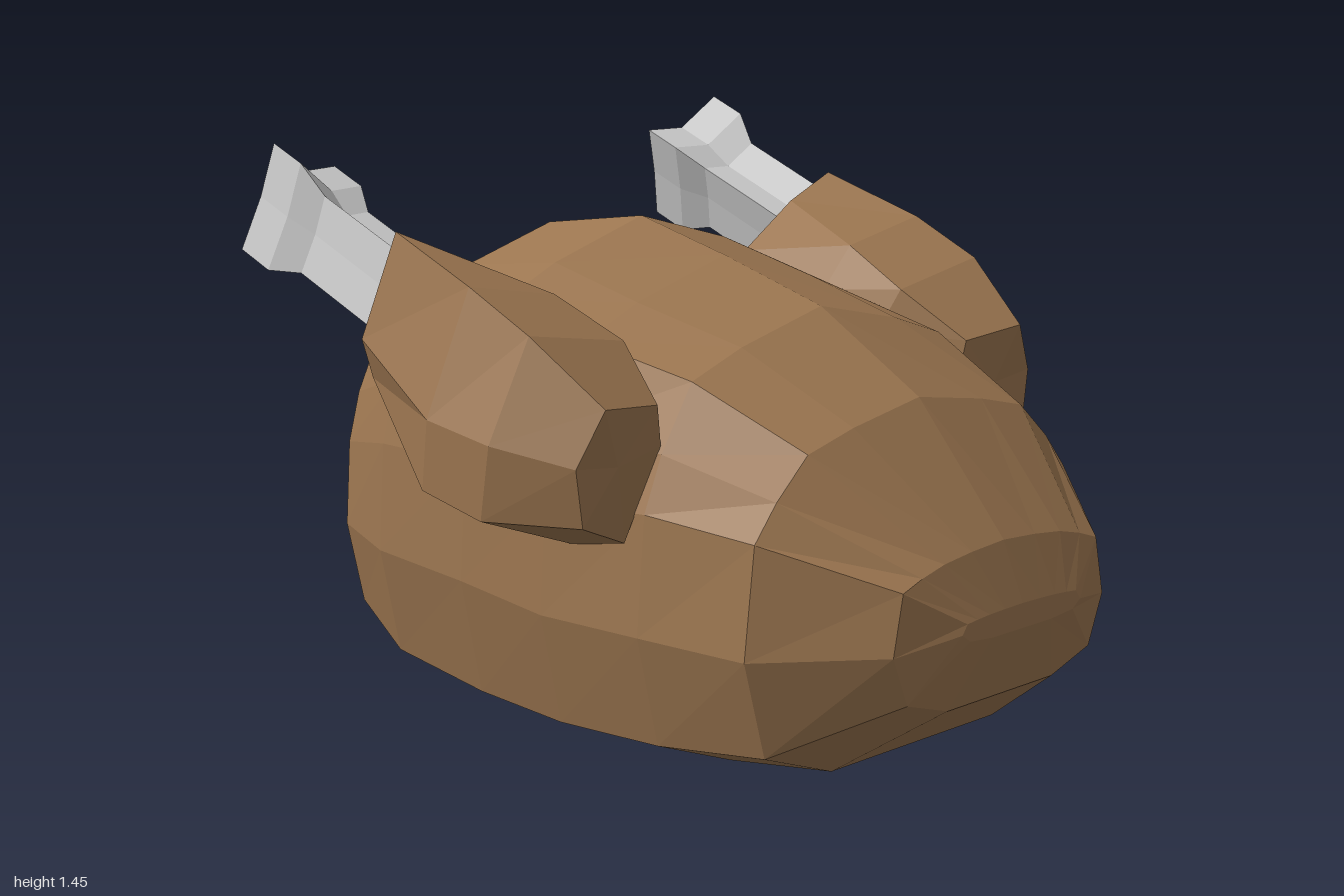
import * as THREE from 'three';

const meat = new THREE.MeshStandardMaterial({ color: 0x9c7650, flatShading: true });
const bone = new THREE.MeshStandardMaterial({ color: 0xcccccc, flatShading: true });

// Skins rings of [x, y, z] points, ordered front to back, each counterclockwise
// seen from the front; both ends close in a fan around the given centre points.
function loft(name, rings, material, frontTip, backTip) {
  const n = rings[0].length, index = [];
  const points = rings.flat();
  for (let i = 0; i < rings.length - 1; i++) {
    for (let j = 0; j < n; j++) {
      const a = i * n + j, b = i * n + (j + 1) % n;
      index.push(a, a + n, b + n, a, b + n, b);
    }
  }
  const front = points.push(frontTip) - 1, back = points.push(backTip) - 1;
  const last = (rings.length - 1) * n;
  for (let j = 0; j < n; j++) {
    const k = (j + 1) % n;
    index.push(front, j, k, back, last + k, last + j);
  }
  const indexed = new THREE.BufferGeometry();
  indexed.setAttribute('position', new THREE.Float32BufferAttribute(points.flat(), 3));
  indexed.setIndex(index);
  const geometry = indexed.toNonIndexed();
  geometry.computeVertexNormals();
  const mesh = new THREE.Mesh(geometry, material);
  mesh.name = name;
  return mesh;
}

const centre = ring => [0, 1, 2].map(k => ring.reduce((s, p) => s + p[k], 0) / ring.length);

// Mirrors a point or a ring across x = 0, keeping the faces outward
const flip = ([x, y, z]) => [-x, y, z];
const flipRing = ring => ring.map(flip).reverse();

// Body: half profiles [x / halfWidth, height fraction], bottom to top, for rump and nose
const RUMP = [[0, 0], [0.5, 0], [0.9, 0.08], [1, 0.32], [0.97, 0.56], [0.9, 0.7], [0.75, 0.87], [0.48, 0.93], [0, 1]];
const NOSE = [[0, 0], [0.5, 0], [0.87, 0.12], [1, 0.45], [0.92, 0.84], [0.75, 0.9], [0.55, 0.95], [0.3, 0.98], [0, 1]];

// [z, halfWidth, bottom, top, blend from rump to nose]
const BODY = [
  [1.0, 0.22, 0.40, 0.46, 1],
  [0.94, 0.39, 0.23, 0.60, 1],
  [0.68, 0.60, 0.05, 0.90, 0.5],
  [0.37, 0.63, 0.01, 1.08, 0.2],
  [0.05, 0.635, 0, 1.17, 0],
  [-0.24, 0.63, 0.01, 1.24, 0],
  [-0.58, 0.60, 0.05, 1.19, 0],
  [-0.82, 0.51, 0.14, 1.04, 0],
  [-0.95, 0.31, 0.29, 0.78, 0],
];

function bodyRing([z, w, bottom, top, blend]) {
  const half = RUMP.map(([x, t], i) => [
    w * THREE.MathUtils.lerp(x, NOSE[i][0], blend),
    THREE.MathUtils.lerp(bottom, top, THREE.MathUtils.lerp(t, NOSE[i][1], blend)),
    z,
  ]);
  return [...half, ...half.slice(1, -1).reverse().map(flip)];
}

// Thigh rings: top inner, inner, bottom, outer low, outer high, top outer
const THIGH = [
  [[0.56, 0.92, 0.37], [0.54, 0.82, 0.36], [0.63, 0.60, 0.33], [0.80, 0.67, 0.37], [0.82, 0.81, 0.37], [0.75, 0.94, 0.395]],
  [[0.50, 1.04, 0.20], [0.455, 0.93, 0.16], [0.61, 0.56, 0.14], [0.91, 0.67, 0.15], [0.91, 0.85, 0.18], [0.80, 1.09, 0.20]],
  [[0.53, 1.13, 0.00], [0.45, 1.02, -0.02], [0.60, 0.63, -0.07], [0.91, 0.71, -0.05], [0.91, 0.88, -0.03], [0.80, 1.18, 0.00]],
  [[0.63, 1.21, -0.30], [0.47, 1.09, -0.32], [0.58, 0.82, -0.37], [0.80, 0.92, -0.35], [0.84, 1.02, -0.34], [0.77, 1.275, -0.29]],
];

// Notched outline of the bone's knuckle end
const KNUCKLE = [
  [0.78, 1.45, -0.73], [0.67, 1.37, -0.75], [0.56, 1.37, -0.77], [0.60, 1.25, -0.79],
  [0.63, 1.13, -0.81], [0.73, 1.18, -0.80], [0.85, 1.19, -0.78], [0.81, 1.32, -0.75],
];

// Knuckle outline scaled about its centre and slid forward along the bone
function boneRing(scale, slide) {
  const c = centre(KNUCKLE);
  const shift = [0, -0.37 * slide, 0.93 * slide];
  return KNUCKLE.map(p => p.map((v, k) => c[k] + (v - c[k]) * scale + shift[k]));
}

function drumstick(name, mirrored) {
  const side = rings => (mirrored ? rings.map(flipRing) : rings);
  const thigh = side(THIGH);
  const shank = side([boneRing(0.72, 0.52), boneRing(0.72, 0.19), boneRing(1, 0.11), KNUCKLE]);
  const notch = centre(shank[3]);
  notch[2] += 0.03;
  const group = new THREE.Group();
  group.name = name;
  group.add(
    loft('thigh', thigh, meat, centre(thigh[0]), centre(thigh[3])),
    loft('legBone', shank, bone, centre(shank[0]), notch),
  );
  return group;
}

export function createModel() {
  const model = new THREE.Group();
  model.name = 'roastBird';
  model.add(
    loft('body', BODY.map(bodyRing), meat, [0, 0.44, 1.0], [0, 0.47, -1.0]),
    drumstick('leftDrumstick', false),
    drumstick('rightDrumstick', true),
  );
  return model;
}
